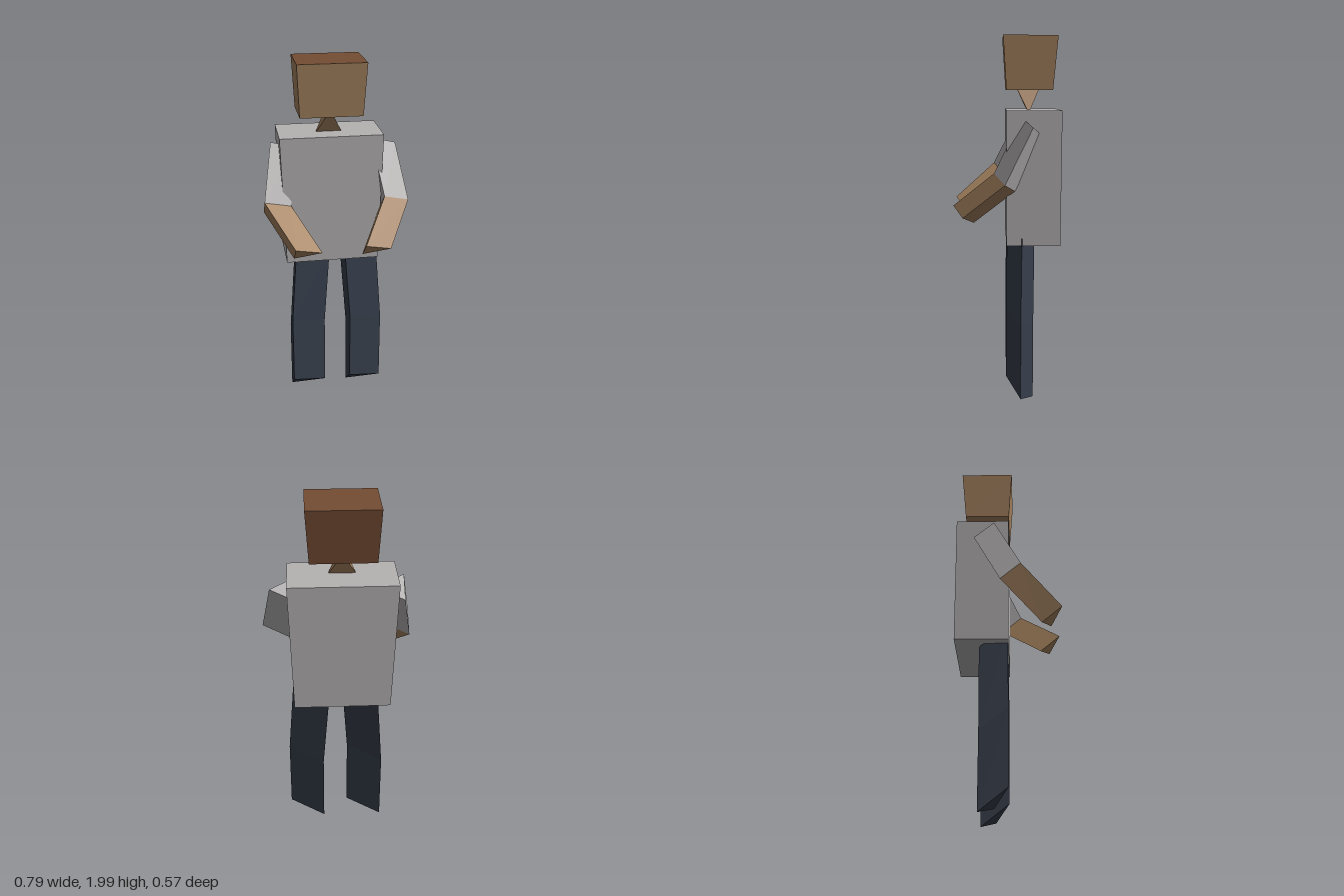
import * as THREE from 'three';

const material = (name, color) => {
  const m = new THREE.MeshStandardMaterial({ color });
  m.name = name;
  return m;
};

// Joins rings of corners, ordered bottom to top and anticlockwise from above, with flat faces and caps.
// Groups: one per side in ring order, then bottom, then top.
function loft(rings) {
  const n = rings[0].length, pos = [];
  const geometry = new THREE.BufferGeometry();
  const face = (index, tris) => {
    geometry.addGroup(pos.length / 3, tris.length, index);
    tris.forEach(p => pos.push(...p));
  };
  for (let i = 0; i < n; i++) {
    const j = (i + 1) % n, tris = [];
    for (let k = 0; k + 1 < rings.length; k++) {
      const a = rings[k], b = rings[k + 1];
      tris.push(a[i], a[j], b[j], a[i], b[j], b[i]);
    }
    face(i, tris);
  }
  const bottom = rings[0], top = rings[rings.length - 1], under = [], over = [];
  for (let i = 1; i + 1 < n; i++) {
    under.push(bottom[0], bottom[i + 1], bottom[i]);
    over.push(top[0], top[i], top[i + 1]);
  }
  face(n, under);
  face(n + 1, over);
  geometry.setAttribute('position', new THREE.Float32BufferAttribute(pos, 3));
  geometry.computeVertexNormals();
  return geometry;
}

// Level rectangle: sides run front, left, back, right
const rect = (y, x0, x1, z0, z1) => [[x0, y, z1], [x1, y, z1], [x1, y, z0], [x0, y, z0]];

// Slanted triangle hung from its front corner
const tri = ([x, y, z], width, drop, depth) => [
  [x, y, z],
  [x + width, y - drop / 2, z - depth / 2],
  [x, y - drop, z - depth],
];
const armRing = p => tri(p, 0.145, 0.094, 0.109);
const legRing = p => tri(p, 0.195, 0.12, 0.15);

export function createModel() {
  const model = new THREE.Group();
  const skin = material('skin', 0xa5825f);
  const hair = material('hair', 0x754d33);
  const shirt = material('shirt', 0xb5b2b2);
  const trousers = material('trousers', 0x363e4b);

  const add = (name, rings, mat, parent = model) => {
    const mesh = new THREE.Mesh(loft(rings), mat);
    mesh.name = name;
    parent.add(mesh);
  };

  // Head, with hair on the back and top
  add('head', [
    rect(1.72, -0.195, 0.14, -0.245, 0),
    rect(2, -0.208, 0.157, -0.27, 0.017),
  ], [skin, skin, hair, skin, skin, hair]);

  // Neck, twisting from a sideways edge to a front-to-back edge
  add('neck', [
    rect(1.61, -0.097, 0.043, -0.128, -0.116),
    rect(1.725, -0.037, -0.017, -0.18, -0.06),
  ], skin);

  add('torso', [
    rect(0.905, -0.28, 0.23, -0.284, 0),
    rect(1.615, -0.303, 0.252, -0.286, 0),
  ], shirt);

  // Arms: front corner at hand, elbow and shoulder
  const arms = {
    leftArm: [[0.11, 1.105, 0.285], [0.248, 1.292, 0.066], [0.197, 1.578, -0.078]],
    rightArm: [[-0.258, 1.105, 0.285], [-0.396, 1.292, 0.066], [-0.345, 1.578, -0.078]],
  };
  for (const [name, points] of Object.entries(arms)) {
    const arm = new THREE.Group();
    arm.name = name;
    const [hand, elbow, shoulder] = points.map(armRing);
    add('forearm', [hand, elbow], skin, arm);
    add('sleeve', [elbow, shoulder], shirt, arm);
    model.add(arm);
  }

  // Legs: front corner at foot, knee and hip
  const legs = {
    leftLeg: [[0.076, 0.13, 0], [0.076, 0.54, 0], [0.041, 1.005, -0.006]],
    rightLeg: [[-0.257, 0.13, 0], [-0.257, 0.54, 0], [-0.224, 1.005, -0.006]],
  };
  for (const [name, points] of Object.entries(legs)) add(name, points.map(legRing), trousers);

  return model;
}
